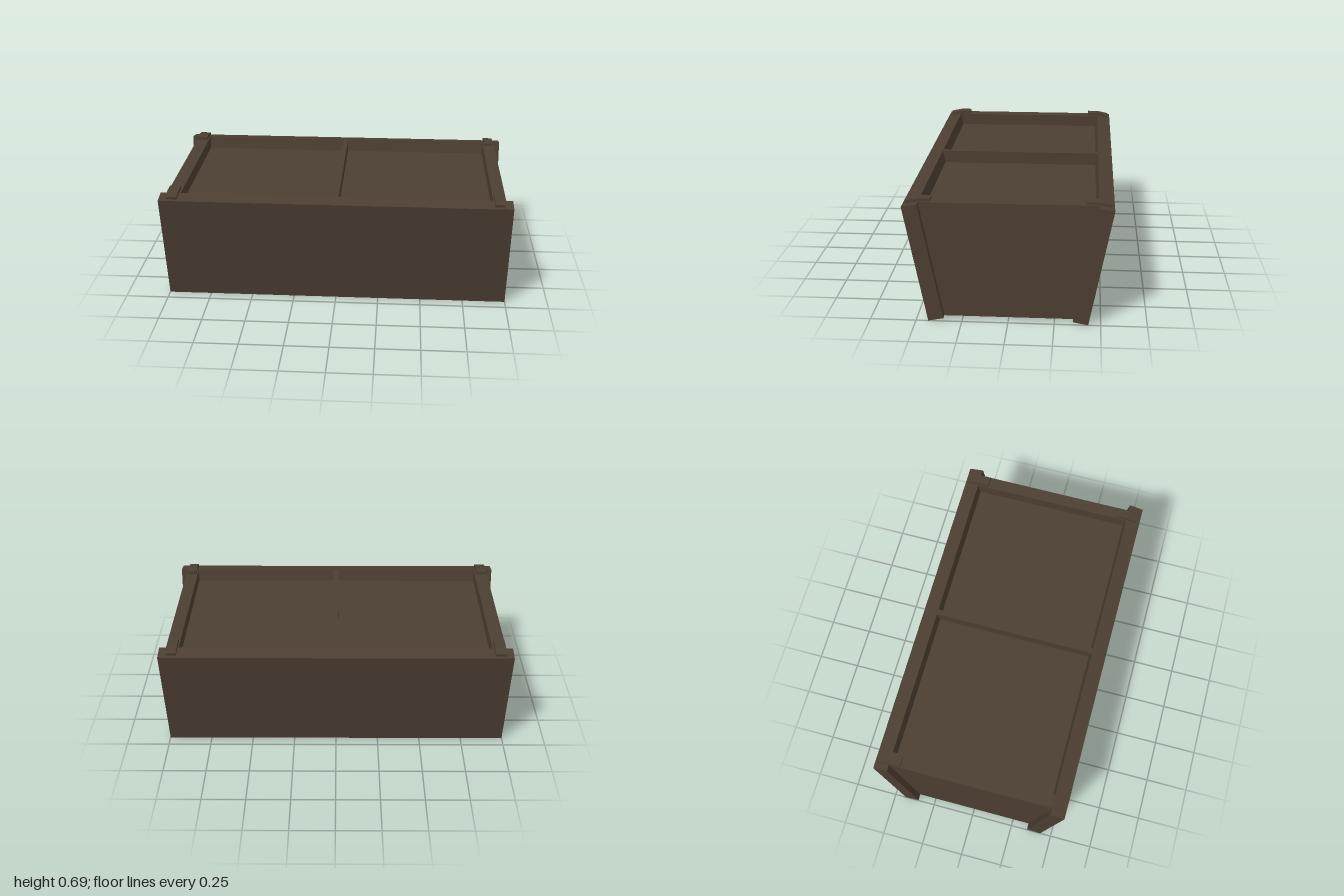
import * as THREE from 'three';

const wood = new THREE.MeshStandardMaterial({ color: 0x4c3e32 });
wood.name = 'darkBrown';

// Extrudes a [z, y] outline along x between x0 and x1.
function slab(name, outline, x0, x1) {
  const shape = new THREE.Shape(outline.map(([z, y]) => new THREE.Vector2(z, y)));
  const geometry = new THREE.ExtrudeGeometry(shape, { depth: x1 - x0, bevelEnabled: false });
  geometry.rotateY(-Math.PI / 2);
  geometry.translate(x1, 0, 0);
  const mesh = new THREE.Mesh(geometry, wood);
  mesh.name = name;
  return mesh;
}

const BOTTOM = 0.016, TOP = 0.668;
// Half depth of the inside at height y, following the flared walls.
const inner = (y) => 0.35 + (0.125 * (y - BOTTOM)) / (TOP - BOTTOM);
const trapezoid = (y0, y1) => [
  [-inner(y0), y0], [inner(y0), y0], [inner(y1), y1], [-inner(y1), y1],
];

export function createModel() {
  const model = new THREE.Group();
  model.name = 'planterBox';

  // Flared long walls and the bent clips on the four corners
  const wall = [[0.35, BOTTOM], [0.433, 0], [0.558, 0.652], [0.475, TOP]];
  const clip = [[0.41, TOP], [0.475, TOP], [0.54, 0.656], [0.544, 0.672], [0.475, 0.686], [0.41, 0.686]];
  for (const [side, s] of [['front', 1], ['back', -1]]) {
    const flip = (outline) => outline.map(([z, y]) => [z * s, y]);
    model.add(slab(side + 'Wall', flip(wall), -1, 1));
    model.add(slab(side + 'LeftClip', flip(clip), 0.897, 0.953));
    model.add(slab(side + 'RightClip', flip(clip), -0.958, -0.895));
  }

  // Recessed end panels
  model.add(slab('leftEnd', trapezoid(BOTTOM, TOP), 0.89, 0.962));
  model.add(slab('rightEnd', trapezoid(BOTTOM, TOP), -0.962, -0.885));

  // Centre divider and the shallow soil bed it crosses
  model.add(slab('divider', trapezoid(0.27, TOP), -0.012, 0.02));
  model.add(slab('rightSoil', trapezoid(0.575, 0.595), -0.885, -0.012));
  model.add(slab('leftSoil', trapezoid(0.575, 0.595), 0.02, 0.89));

  return model;
}
